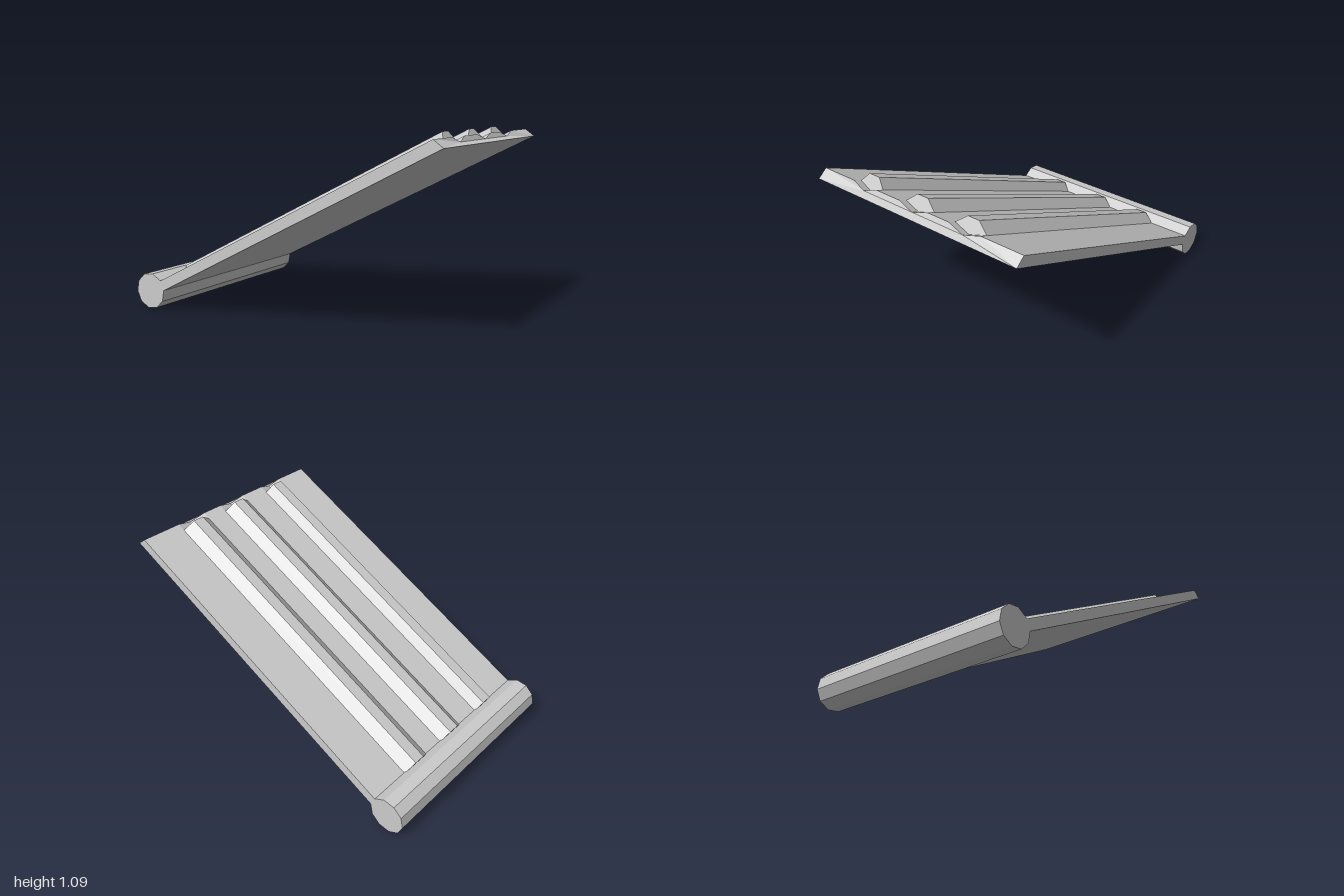
import * as THREE from 'three';

const material = new THREE.MeshStandardMaterial({ color: 0xcccccc, flatShading: true });
const HALF_DEPTH = 0.65, THICKNESS = 0.061, GROOVE = 0.03;
// z centre and half width of each rib, back to front
const RIBS = [[-0.302, 0.0975], [0.022, 0.094], [0.357, 0.079]];

// Sweeps a (z, height) outline along local x from start to end
function sweep(points, start, end) {
  const shape = new THREE.Shape(points.map(([z, h]) => new THREE.Vector2(-z, h)));
  const geometry = new THREE.ExtrudeGeometry(shape, { depth: end - start, bevelEnabled: false, steps: 1 });
  return geometry.rotateY(Math.PI / 2).translate(start, 0, 0);
}

function addMesh(parent, geometry, name) {
  const mesh = new THREE.Mesh(geometry, material);
  mesh.name = name;
  parent.add(mesh);
  return mesh;
}

export function createModel() {
  const model = new THREE.Group();
  model.name = 'hingedRamp';

  // Ten-sided hinge barrel along the low edge
  const barrel = new THREE.CylinderGeometry(0.108, 0.108, HALF_DEPTH * 2, 10, 1, false, THREE.MathUtils.degToRad(97));
  barrel.rotateX(Math.PI / 2);
  addMesh(model, barrel, 'hingeBarrel').position.set(-0.893, 0.107, 0);

  // Sloping board; local origin is the top edge of its raised end
  const board = new THREE.Group();
  board.name = 'board';
  board.position.set(0.94, 1.067, 0);
  board.rotation.z = THREE.MathUtils.degToRad(26.94);
  model.add(board);

  // Plate outline with a V groove under each rib
  const outline = [[-HALF_DEPTH, -THICKNESS], [-HALF_DEPTH, 0]];
  for (const [z, w] of RIBS) outline.push([z - w, 0], [z, -GROOVE], [z + w, 0]);
  outline.push([HALF_DEPTH, 0], [HALF_DEPTH, -THICKNESS]);
  const plate = sweep(outline, -2, 0);

  // Push the lower lip of the raised end outward to bevel it
  const pos = plate.attributes.position;
  for (let i = 0; i < pos.count; i++) {
    if (pos.getX(i) > -0.01 && pos.getY(i) < -0.05) pos.setX(i, 0.031);
  }
  plate.computeVertexNormals();
  addMesh(board, plate, 'plate');

  // Raised grip ribs, stopping short of the plate's end
  for (const [z, w] of RIBS) {
    const section = [[z - w, 0], [z - 0.034, 0.053], [z + 0.034, 0.053], [z + w, 0], [z, -GROOVE]];
    addMesh(board, sweep(section, -1.97, -0.051), 'gripRib');
  }
  return model;
}
